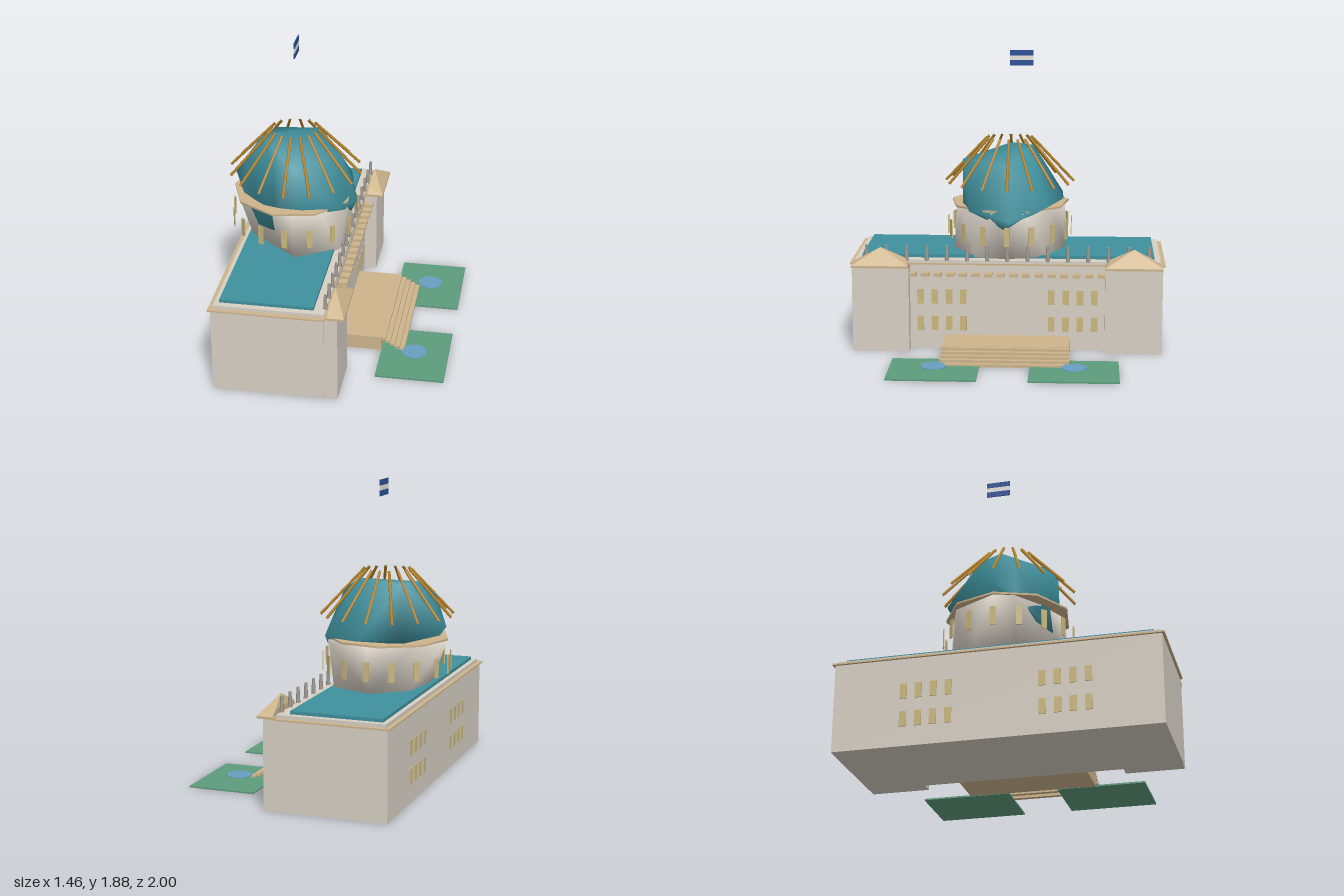
import * as THREE from 'three';
import { mergeVertices } from 'three/addons/utils/BufferGeometryUtils.js';
import { ConvexGeometry } from 'three/addons/geometries/ConvexGeometry.js';

const mat = (name, color, side = THREE.FrontSide) => {
  const m = new THREE.MeshStandardMaterial({ color, side });
  m.name = name;
  return m;
};

export function createModel() {
  const stone = mat('pale stone', 0xd6cfc4);
  const sand = mat('sandstone', 0xcdb48c);
  const teal = mat('teal roof', 0x3f909d);
  const gold = mat('gold rib', 0xb5832b);
  const pane = mat('window yellow', 0xcab87e);
  const grey = mat('statue grey', 0xa39d94);
  const green = mat('lawn green', 0x5e9c7c);
  const water = mat('pond blue', 0x689fc0);
  const blue = mat('flag blue', 0x2b5098);
  const white = mat('flag white', 0xe6e4dc);

  const model = new THREE.Group();
  const add = (name, geo, material, x = 0, y = 0, z = 0) => {
    const m = new THREE.Mesh(geo, material);
    m.name = name;
    m.position.set(x, y, z);
    model.add(m);
    return m;
  };
  // Box given by its limits on each axis
  const block = (name, material, x0, x1, y0, y1, z0, z1) =>
    add(name, new THREE.BoxGeometry(x1 - x0, y1 - y0, z1 - z0), material,
      (x0 + x1) / 2, (y0 + y1) / 2, (z0 + z1) / 2);
  // Faceted hull, optionally with softened shading
  const hull = (points, smooth) => {
    let g = new ConvexGeometry(points.map(p => new THREE.Vector3(...p)));
    if (smooth) {
      g.deleteAttribute('normal');
      g = mergeVertices(g, 1e-4);
      g.computeVertexNormals();
    }
    return g;
  };

  // Main hall, cornice, parapet and roof
  block('mainHall', stone, -0.645, 0.04, 0, 0.55, -0.985, 0.985);
  block('cornice', sand, -0.66, 0.045, 0.55, 0.56, -1, 1);
  block('parapet', stone, -0.63, 0.04, 0.56, 0.58, -0.97, 0.97);
  block('roof', teal, -0.6, -0.03, 0.58, 0.6, -0.93, 0.93);

  // Corner pavilions with pointed roofs
  for (const s of [-1, 1]) {
    const [z0, z1] = s > 0 ? [0.62, 0.98] : [-0.98, -0.62];
    block('pavilion', stone, 0.03, 0.12, 0, 0.55, z0, z1);
    block('pavilionCornice', sand, 0.04, 0.16, 0.55, 0.565, z0, z1);
    add('pavilionRoof', hull([
      [0.06, 0.565, z0], [0.16, 0.565, z0], [0.16, 0.565, z1], [0.06, 0.565, z1],
      [0.06, 0.6, s * 0.93], [0.06, 0.6, s * 0.65], [0.08, 0.67, s * 0.8],
    ]), sand);
  }

  // Dentils along the front
  for (let i = 0; i < 16; i++) {
    const z = -0.6 + i * 0.08;
    block('dentil', sand, 0.04, 0.097, 0.485, 0.505, z - 0.025, z + 0.025);
  }

  // Statues on the parapet
  for (let i = 0; i < 15; i++) {
    const z = (i - 7) * 0.128;
    add('statue', new THREE.CylinderGeometry(0.009, 0.014, 0.1, 6), grey, 0.035, 0.625, z);
  }

  // Windows on both long walls
  for (const x of [0.042, -0.647])
    for (const s of [-1, 1])
      for (let i = 0; i < 4; i++)
        for (const y of [0.168, 0.343]) {
          const z = s * (0.28 + i * 0.091);
          block('window', pane, x - 0.004, x + 0.004, y - 0.047, y + 0.047, z - 0.021, z + 0.021);
        }

  // Entrance platform and open steps
  block('platform', sand, 0.04, 0.3, 0, 0.092, -0.4, 0.4);
  for (let i = 0; i < 5; i++)
    block('step', sand, 0.3 + i * 0.03, 0.33 + i * 0.03, 0.072 - i * 0.017, 0.09 - i * 0.017, -0.4, 0.4);

  // Lawns and ponds
  for (const s of [-1, 1]) {
    add('lawn', new THREE.BoxGeometry(0.425, 0.01, 0.55), green, 0.518, 0.005, s * 0.43);
    add('pond', new THREE.CylinderGeometry(0.08, 0.08, 0.005, 10), water, 0.518, 0.03, s * 0.43);
  }

  // Drum under the dome: narrower at its foot
  const drumFoot = [[-0.57, 0.1], [-0.52, -0.2], [-0.31, -0.36], [-0.05, -0.25], [0.04, 0], [0, 0.2], [-0.25, 0.36]];
  const drumTop = [[-0.7, 0], [-0.55, -0.27], [-0.3, -0.36], [-0.03, -0.28], [0.05, -0.1],
    [0.04, 0.1], [-0.1, 0.3], [-0.28, 0.34], [-0.5, 0.24], [-0.66, 0.12]];
  add('drum', hull([...drumFoot.map(([x, z]) => [x, 0.59, z]), ...drumTop.map(([x, z]) => [x, 0.885, z])], true), stone);
  add('drumCornice', new THREE.CylinderGeometry(0.385, 0.385, 0.012, 9), sand, -0.32, 0.895, 0).rotation.y = -Math.PI / 2;

  // Irregular dome
  add('dome', hull([
    [-0.52, 1.25, 0], [-0.17, 1.27, -0.13], [-0.45, 1.245, -0.15], [-0.02, 1.17, 0.02],
    [-0.27, 1.18, 0.3], [-0.6, 1.15, 0.1], [-0.4, 1.17, 0.27],
    [-0.7, 0.98, -0.02], [-0.5, 0.93, -0.34], [-0.25, 0.93, -0.35], [0.01, 0.92, -0.25],
    [0.08, 0.83, -0.02], [0, 0.9, 0.24], [-0.22, 0.9, 0.3], [-0.62, 0.9, 0.12],
    [-0.5, 0.76, 0.26], [-0.4, 0.74, 0.29], [0.05, 0.78, 0.02],
  ], true), teal);

  // Ring of drum windows and gold ribs
  for (let i = 0; i < 16; i++) {
    const a = i * Math.PI / 8;
    const spoke = new THREE.Group();
    spoke.name = 'domeSpoke';
    spoke.position.x = -0.31;
    spoke.rotation.y = a;
    const win = new THREE.Mesh(new THREE.BoxGeometry(0.006, 0.12, 0.036), pane);
    win.name = 'drumWindow';
    win.position.set(0.4, 0.742, 0);
    const path = new THREE.LineCurve3(new THREE.Vector3(0.415, 1.035, 0), new THREE.Vector3(0.145, 1.32, 0));
    const rib = new THREE.Mesh(new THREE.TubeGeometry(path, 1, 0.009, 6), gold);
    rib.name = 'domeRib';
    spoke.add(win, rib);
    model.add(spoke);
  }

  // Flag
  for (const [y0, y1, m] of [[1.78, 1.815, blue], [1.815, 1.845, white], [1.845, 1.88, blue]])
    block('flagStripe', m, -0.313, -0.307, y0, y1, -0.15, 0);

  return model;
}
